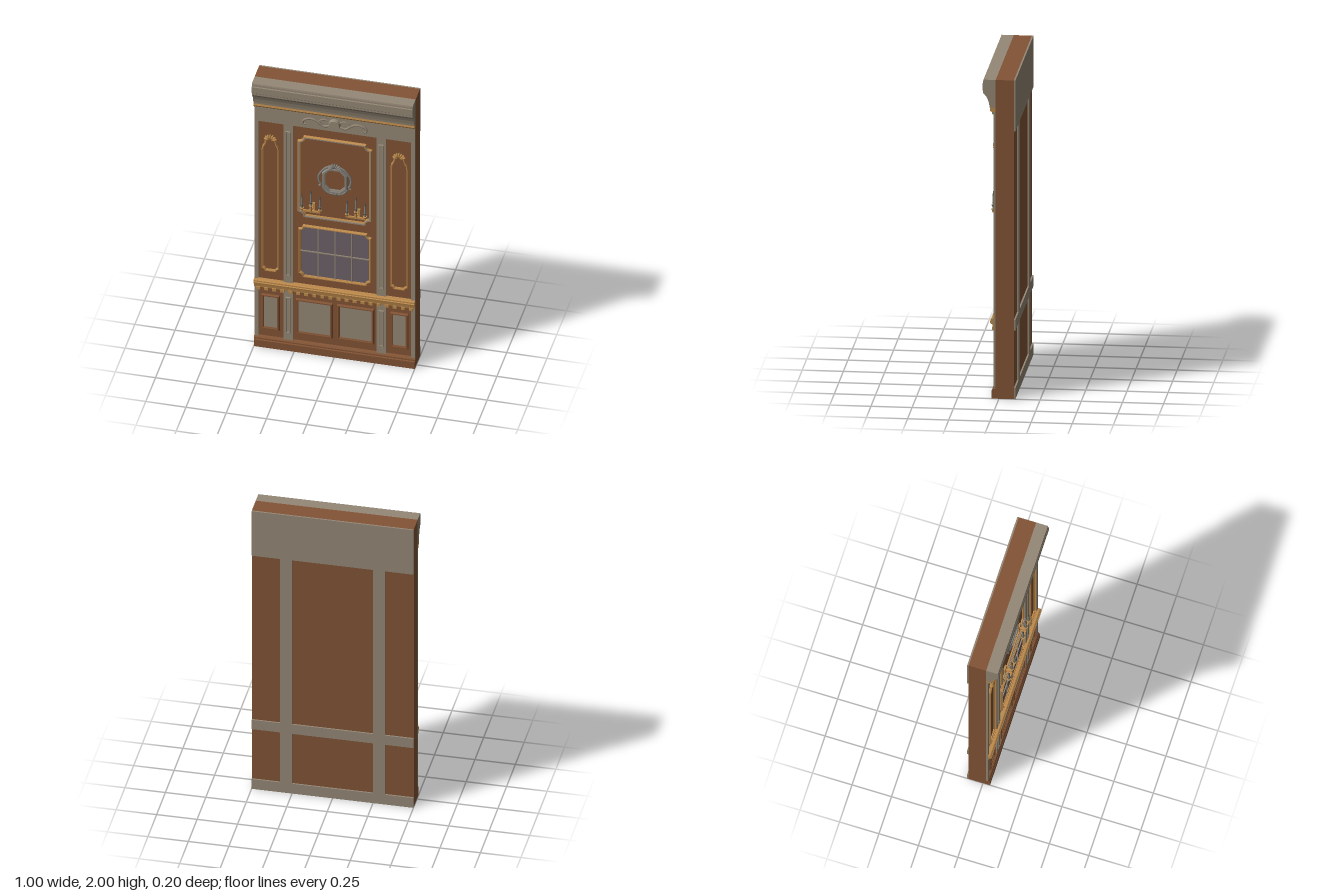
import * as THREE from 'three';

const mat = (name, color) => Object.assign(new THREE.MeshStandardMaterial({ color }), { name });

export function createModel() {
  const root = new THREE.Group();
  root.name = 'panelledWall';
  const wood = mat('brown wood', 0x835435);
  const taupe = mat('taupe paint', 0x958876);
  const gold = mat('gilding', 0xbd8a4c);
  const glass = mat('window glass', 0x6c6267);
  const pewter = mat('pewter', 0x87827a);
  const dark = mat('dark pewter', 0x5a5853);

  const FACE = 0.02, FRAME = 0.032; // recessed field and raised frame fronts

  const add = (name, geo, m, x = 0, y = 0, z = 0, parent = root) => {
    const mesh = new THREE.Mesh(geo, m);
    mesh.name = name;
    mesh.position.set(x, y, z);
    parent.add(mesh);
    return mesh;
  };
  // box given by its limits
  const block = (name, m, x0, x1, y0, y1, z0, z1) =>
    add(name, new THREE.BoxGeometry(x1 - x0, y1 - y0, z1 - z0), m, (x0 + x1) / 2, (y0 + y1) / 2, (z0 + z1) / 2);
  // full-width moulding from a (z, y) profile
  const rail = (name, m, pts) => {
    const shape = new THREE.Shape(pts.map(p => new THREE.Vector2(...p)));
    const geo = new THREE.ExtrudeGeometry(shape, { depth: 1, bevelEnabled: false });
    geo.rotateY(-Math.PI / 2).translate(0.5, 0, 0);
    return add(name, geo, m);
  };
  // mitred moulding around a counter-clockwise closed path
  const PROFILE = [[-0.5, 0], [-0.5, 0.5], [-0.2, 0.6], [-0.2, 1], [0.25, 1], [0.5, 0.5], [0.5, 0]];
  const moulding = (name, path, w, h, z, edge, core) => {
    const n = path.length;
    const normal = (a, b) => {
      const l = Math.hypot(b[0] - a[0], b[1] - a[1]);
      return [(b[1] - a[1]) / l, (a[0] - b[0]) / l];
    };
    const mitre = path.map((p, i) => {
      const a = normal(path[(i + n - 1) % n], p), b = normal(p, path[(i + 1) % n]);
      const k = Math.max(0.4, 1 + a[0] * b[0] + a[1] * b[1]);
      return [(a[0] + b[0]) / k, (a[1] + b[1]) / k];
    });
    const at = (j, k) => {
      const i = j % n, [u, v] = PROFILE[k];
      return [path[i][0] + mitre[i][0] * u * w, path[i][1] + mitre[i][1] * u * w, z + v * h];
    };
    const pos = [], geo = new THREE.BufferGeometry();
    for (let k = 0; k < PROFILE.length - 1; k++) {
      geo.addGroup(pos.length / 3, n * 6, k === 2 || k === 3 ? 1 : 0);
      for (let j = 0; j < n; j++) {
        const a = at(j, k), b = at(j + 1, k), c = at(j + 1, k + 1), d = at(j, k + 1);
        pos.push(...a, ...d, ...c, ...a, ...c, ...b);
      }
    }
    geo.setAttribute('position', new THREE.Float32BufferAttribute(pos, 3));
    geo.computeVertexNormals();
    return add(name, geo, [edge, core]);
  };
  const rect = (x0, x1, y0, y1) => [[x0, y0], [x1, y0], [x1, y1], [x0, y1]];
  // concave quarter circle cut out of a corner
  const scoop = (x, y, r, start) => [0, 1, 2, 3, 4].map(i => {
    const a = start - i * Math.PI / 8;
    return [x + r * Math.cos(a), y + r * Math.sin(a)];
  });
  const P = Math.PI;
  const notched = (x0, x1, y0, y1, r) => [
    ...scoop(x0, y0, r, P / 2), ...scoop(x1, y0, r, P),
    ...scoop(x1, y1, r, 1.5 * P), ...scoop(x0, y1, r, 2 * P)];
  const tube = (name, m, pts, r) => add(name, new THREE.TubeGeometry(
    new THREE.CatmullRomCurve3(pts.map(p => new THREE.Vector3(...p))), 28, r, 6), m);
  // fan of rounded lobes
  const shell = (name, m, x, y, z, r, dir = 1) => {
    const g = new THREE.Group();
    g.name = name;
    for (let i = -3; i <= 3; i++) {
      const a = i * 0.45;
      const lobe = add('lobe', new THREE.SphereGeometry(1, 8, 6), m, Math.sin(a) * r * 0.6, Math.cos(a) * r * 0.6, 0, g);
      lobe.scale.set(r * 0.17, r * 0.45, r * 0.3);
      lobe.rotation.z = -a;
    }
    g.position.set(x, y, z);
    if (dir < 0) g.rotation.z = P;
    root.add(g);
  };

  // wall core and frames on both faces
  block('wallCore', wood, -0.5, 0.5, 0, 2, -0.09, FACE);
  for (const [y0, y1] of [[0, 0.07], [0.43, 0.497], [1.68, 2]]) block('backRail', taupe, -0.5, 0.5, y0, y1, -0.1, -0.09);
  block('frieze', taupe, -0.5, 0.5, 1.68, 1.8, FACE, FRAME);
  for (const s of [-1, 1]) {
    for (const [y0, y1] of [[0.07, 0.43], [0.497, 1.68]])
      block('backStile', taupe, s * 0.2875 - 0.0375, s * 0.2875 + 0.0375, y0, y1, -0.1, -0.09);
    block('stile', taupe, s * 0.288 - 0.03, s * 0.288 + 0.03, 0.06, 1.68, FACE, FRAME);
    block('edgeStile', taupe, s * 0.4875 - 0.0125, s * 0.4875 + 0.0125, 0.06, 1.68, FACE, FRAME);
    for (const [y0, y1] of [[0.13, 0.39], [0.56, 1.63]])
      moulding('stileMoulding', rect(s * 0.29 - 0.012, s * 0.29 + 0.012, y0, y1), 0.009, 0.008, FRAME, taupe, taupe);
  }

  // baseboard
  rail('baseboard', wood, [[FACE, 0], [0.045, 0], [0.045, 0.05], [0.04, 0.055], [0.04, 0.064], [0.034, 0.072], [FACE, 0.075]]);

  // cornice
  rail('corniceBand', gold, [[FACE, 1.8], [0.05, 1.8], [0.056, 1.81], [0.053, 1.825], [FACE, 1.825]]);
  rail('corniceFoot', taupe, [[FACE, 1.782], [0.042, 1.785], [0.042, 1.8], [FACE, 1.8]]);
  rail('cornice', taupe, [[FACE, 1.825], [0.056, 1.825], [0.058, 1.84], [0.064, 1.865], [0.074, 1.89], [0.09, 1.91],
    [0.096, 1.915], [0.096, 1.928], [0.1, 1.932], [0.1, 1.975], [0.096, 1.98], [0.096, 1.99], [0.094, 2], [FACE, 2]]);

  // dado rail with dentils
  rail('dadoRail', gold, [[FACE, 0.442], [0.036, 0.442], [0.04, 0.465], [0.052, 0.472], [0.055, 0.485], [0.05, 0.488], [0.05, 0.497], [0.044, 0.502], [FACE, 0.502]]);
  for (let i = 0; i < 20; i++) {
    const x = -0.475 + i * 0.05;
    block('dentil', gold, x - 0.012, x + 0.012, 0.428, 0.447, FACE, 0.043);
  }

  // lower panels
  for (const [x0, x1] of [[-0.445, -0.355], [-0.232, -0.025], [0.025, 0.232], [0.355, 0.445]]) {
    block('lowerPanel', taupe, x0, x1, 0.14, 0.378, FACE, 0.024);
    moulding('lowerPanelMoulding', rect(x0 - 0.003, x1 + 0.003, 0.137, 0.38), 0.016, 0.016, FACE, wood, wood);
  }

  // window
  block('windowGlass', glass, -0.21, 0.21, 0.575, 0.932, FACE, 0.024);
  moulding('windowFrame', notched(-0.22, 0.22, 0.567, 0.94, 0.026), 0.014, 0.018, FACE, gold, gold);
  for (const x of [-0.105, 0, 0.105]) block('glazingBar', taupe, x - 0.003, x + 0.003, 0.57, 0.937, 0.024, 0.03);
  block('glazingCrossbar', taupe, -0.215, 0.215, 0.751, 0.757, 0.024, 0.031);

  // upper centre panel
  moulding('upperPanelMoulding', notched(-0.222, 0.222, 1.018, 1.605, 0.035), 0.018, 0.018, FACE, gold, taupe);

  // side panels with shell crowns
  for (const s of [-1, 1]) {
    const c = s * 0.4;
    const top = [[0.05, 1.47], [0.045, 1.495], [0.034, 1.515], [0.028, 1.545], [0.014, 1.56]];
    const path = [...scoop(c - 0.05, 0.572, 0.018, P / 2), ...scoop(c + 0.05, 0.572, 0.018, P),
      ...top.map(([x, y]) => [c + x, y]), ...[...top].reverse().map(([x, y]) => [c - x, y])];
    moulding('sidePanelMoulding', path, 0.012, 0.016, FACE, gold, gold);
    shell('shellCrown', gold, c, 1.55, 0.034, 0.04);
  }

  // frieze ornament
  const boss = add('friezeBoss', new THREE.CylinderGeometry(0.032, 0.038, 0.022, 24), taupe, 0, 1.737, 0.043);
  boss.rotation.x = P / 2;
  for (const s of [-1, 1]) {
    tube('friezeScroll', taupe, [[0.03, 1.722], [0.07, 1.715], [0.1, 1.738], [0.135, 1.755], [0.175, 1.75],
      [0.198, 1.73], [0.192, 1.71], [0.178, 1.716]].map(([x, y]) => [s * x, y, 0.037]), 0.007);
    tube('friezeTendril', taupe, [[0.03, 1.75], [0.06, 1.765], [0.09, 1.752], [0.1, 1.735]].map(([x, y]) => [s * x, y, 0.037]), 0.005);
  }

  // wall mirror frame
  const oct = [[0.034, 1.23], [0.07, 1.266], [0.07, 1.357], [0.034, 1.395]];
  moulding('mirrorFrame', [...oct, ...[...oct].reverse().map(([x, y]) => [-x, y])], 0.022, 0.022, FACE, pewter, pewter);
  shell('mirrorCrest', pewter, 0, 1.4, 0.034, 0.04);
  shell('mirrorPendant', pewter, 0, 1.228, 0.032, 0.026, -1);
  for (const s of [-1, 1]) {
    tube('mirrorScroll', pewter, [[0.03, 1.415], [0.062, 1.395], [0.085, 1.365], [0.1, 1.335], [0.097, 1.295], [0.086, 1.27],
      [0.098, 1.262]].map(([x, y]) => [s * x, y, 0.03]), 0.007);
    tube('mirrorFoot', pewter, [[0.08, 1.26], [0.06, 1.23], [0.035, 1.215], [0, 1.212]].map(([x, y]) => [s * x, y, 0.03]), 0.006);
  }

  // candle sconces
  const cyl = (r0, r1, h, n = 10) => new THREE.CylinderGeometry(r0, r1, h, n);
  for (const s of [-1, 1]) {
    const g = new THREE.Group();
    g.name = 'sconce';
    g.position.set(s * 0.14, 0, 0);
    root.add(g);
    const Z = 0.068;
    add('backplate', new THREE.BoxGeometry(0.034, 0.055, 0.012), gold, 0, 1.095, 0.026, g);
    add('bracket', new THREE.BoxGeometry(0.012, 0.012, 0.05), gold, 0, 1.087, 0.046, g);
    add('crossArm', new THREE.BoxGeometry(0.118, 0.012, 0.01), gold, 0, 1.087, Z, g);
    add('finial', cyl(0.02, 0.008, 0.02), gold, 0, 1.073, Z - 0.012, g);
    for (const [x, top] of [[-0.056, 1.215], [0, 1.25], [0.056, 1.215]]) {
      const base = x ? 1.1 : 1.125;
      add('socket', cyl(0.007, 0.007, base - 1.085), gold, x, (base + 1.085) / 2, Z, g);
      add('dripPan', cyl(0.013, 0.008, 0.009), gold, x, base, Z, g);
      add('candle', cyl(0.006, 0.006, top - 0.03 - base), pewter, x, (base + top - 0.03) / 2, Z, g);
      add('collar', cyl(0.011, 0.008, 0.008), dark, x, base + 0.025, Z, g);
      add('flame', new THREE.ConeGeometry(0.006, 0.03, 8), dark, x, top - 0.015, Z, g);
    }
  }
  return root;
}
